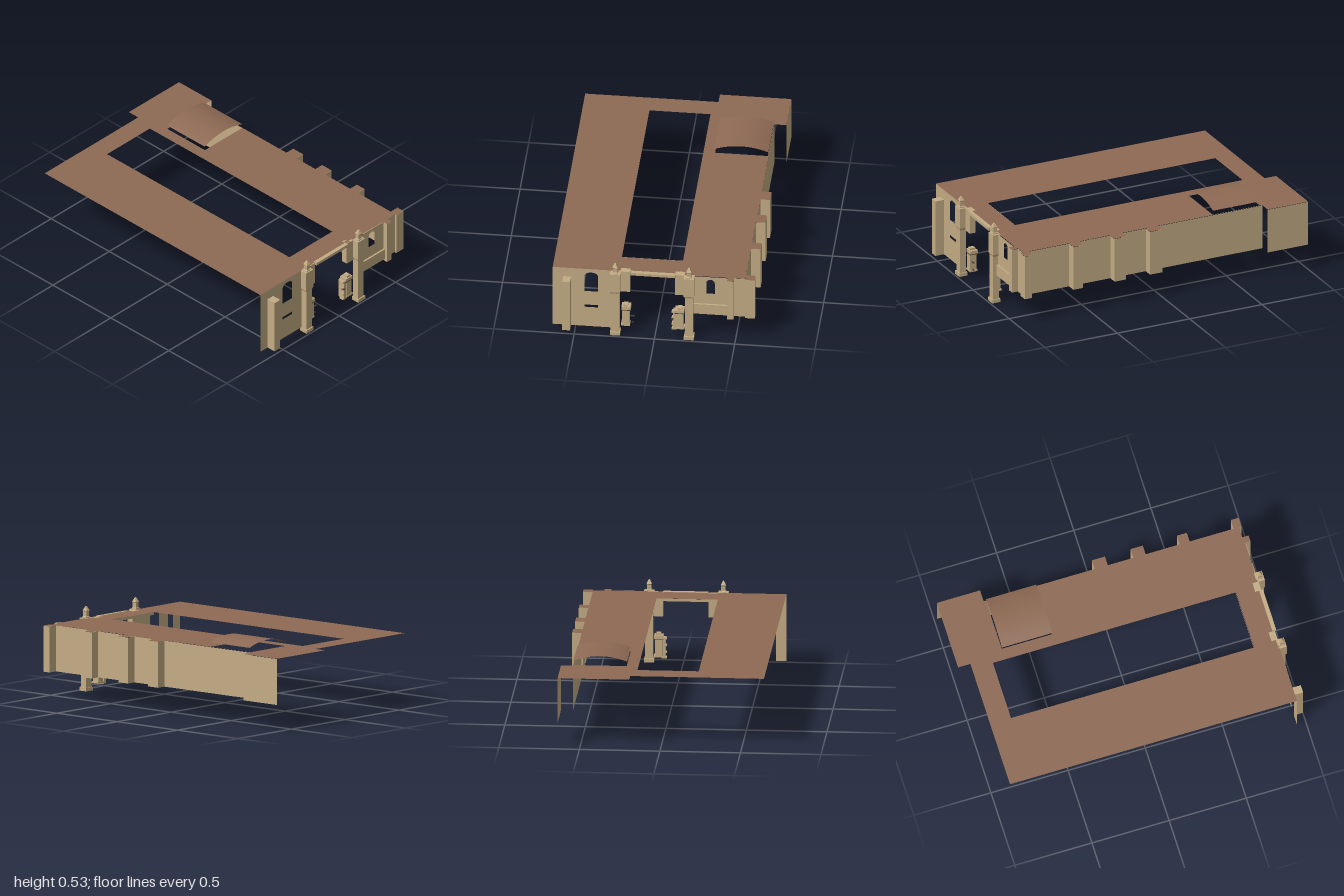
import * as THREE from 'three';

const mat = (name, color, side = THREE.DoubleSide) => {
  const m = new THREE.MeshStandardMaterial({ color, side });
  m.name = name;
  return m;
};

export function createModel() {
  const model = new THREE.Group();
  model.name = 'gatehouse';
  const stone = mat('sandstone', 0xc4ac84);
  const stoneFront = mat('sandstone solid', 0xc4ac84, THREE.FrontSide);
  const roofMat = mat('brown roof', 0x8e6a54);
  const metal = mat('dark iron', 0x4a4034);
  const TOP = 0.457;

  const add = (name, geo, material, parent = model) => {
    const mesh = new THREE.Mesh(geo, material);
    mesh.name = name;
    parent.add(mesh);
    return mesh;
  };
  // Box given by its limits on each axis
  const box = (name, x0, x1, y0, y1, z0, z1, parent = model, material = stoneFront) => {
    const mesh = add(name, new THREE.BoxGeometry(x1 - x0, y1 - y0, z1 - z0), material, parent);
    mesh.position.set((x0 + x1) / 2, (y0 + y1) / 2, (z0 + z1) / 2);
    return mesh;
  };
  const shape = (pts) => new THREE.Shape(pts.map(([x, y]) => new THREE.Vector2(x, y)));
  const rect = (x0, x1, y0, y1) => [[x0, y0], [x1, y0], [x1, y1], [x0, y1]];
  const archWindow = (x0, x1, y0, spring, crown) => {
    const pts = [[x0, y0], [x1, y0]];
    for (let i = 0; i <= 8; i++) {
      const a = (i / 8) * Math.PI;
      pts.push([(x0 + x1) / 2 + Math.cos(a) * (x1 - x0) / 2, spring + Math.sin(a) * (crown - spring)]);
    }
    return pts;
  };
  // Vertical sheet that follows a plan path of [x, z] points
  const foldedWall = (name, path, y0, y1) => {
    const v = [];
    for (let i = 0; i < path.length - 1; i++) {
      const [ax, az] = path[i], [bx, bz] = path[i + 1];
      v.push(ax, y0, az, bx, y0, bz, bx, y1, bz, ax, y0, az, bx, y1, bz, ax, y1, az);
    }
    const geo = new THREE.BufferGeometry();
    geo.setAttribute('position', new THREE.Float32BufferAttribute(v, 3));
    geo.computeVertexNormals();
    add(name, geo, stone);
  };

  // Side wall plan with its row of buttresses, front to back
  const sidePath = [[0.45, 0.94], [0.45, 0.975], [0.49, 0.975], [0.49, 0.935], [0.56, 0.935]];
  for (const [z0, z1] of [[0.95, 0.9], [0.615, 0.55], [0.33, 0.25], [0.085, 0]]) {
    sidePath.push([0.56, z0], [0.62, z0], [0.62, z1], [0.56, z1]);
  }
  sidePath.push([0.56, -0.72]);
  foldedWall('sideWall', sidePath, 0.167, TOP - 0.002);
  foldedWall('rearSideWall', [[0.635, -0.72], [0.635, -1]], 0.167, TOP - 0.002);

  // Flat roof with courtyard and vault openings
  const plan = [[-0.64, 0.94], ...sidePath, [0.635, -0.72], [0.635, -1], [0.19, -1], [0.19, -0.92], [-0.64, -0.92]];
  const roof = shape(plan.map(([x, z]) => [x, -z]));
  roof.holes.push(shape(rect(-0.225, 0.155, -0.79, 0.785)), shape(rect(0.228, 0.556, 0.38, 0.705)));
  add('roof', new THREE.ShapeGeometry(roof).rotateX(-Math.PI / 2), roofMat).position.y = TOP;

  // Raised shallow vault: circular arc in x, running along z
  const half = 0.167, rise = 0.032;
  const radius = (half * half + rise * rise) / (2 * rise);
  const angle = Math.asin(half / radius);
  const vault = new THREE.CylinderGeometry(radius, radius, 0.325, 20, 1, true, -angle, 2 * angle);
  vault.rotateX(Math.PI / 2).rotateZ(Math.PI);
  add('vaultRoof', vault, roofMat).position.set(0.392, 0.517 - radius, -0.5425);

  // Front left wall with window, slit and buttress recess
  const leftWall = shape([[-0.64, 0.025], [-0.575, 0.025], [-0.575, 0.392], [-0.525, 0.392],
    [-0.525, 0.025], [-0.22, 0.025], [-0.22, TOP], [-0.64, TOP]]);
  leftWall.holes.push(shape(archWindow(-0.442, -0.357, 0.29, 0.405, 0.432)),
    shape(rect(-0.442, -0.357, 0.17, 0.187)));
  add('frontLeftWall', new THREE.ShapeGeometry(leftWall), stone).position.z = 0.94;
  const buttress = box('frontButtress', -0.575, -0.525, 0.025, 0.392, 0.94, 1);
  buttress.geometry.setIndex([...buttress.geometry.index.array].slice(0, 30)); // open at the back

  // Front right wall with window and lower ledge
  const rightWall = shape(rect(0.235, 0.455, 0.185, TOP));
  rightWall.holes.push(shape(archWindow(0.318, 0.37, 0.333, 0.412, 0.437)));
  add('frontRightWall', new THREE.ShapeGeometry(rightWall), stone).position.z = 0.945;
  box('wallLedge', 0.235, 0.452, 0.183, 0.255, 0.935, 0.957);

  // Lintel over the gateway and trim at the courtyard edge
  box('lintel', -0.155, 0.125, 0.44, TOP + 0.002, 0.93, 0.955);
  foldedWall('courtyardTrim', [[-0.225, 0.788], [0.155, 0.788]], 0.44, TOP);

  // Gate piers; dir points from the pier into the gateway
  for (const [cx, dir, label] of [[-0.2475, 1, 'left'], [0.2125, -1, 'right']]) {
    const pier = new THREE.Group();
    pier.name = label + 'GatePier';
    model.add(pier);
    const part = (name, a, b, y0, y1, z0, z1, material) =>
      box(name, cx + Math.min(a * dir, b * dir), cx + Math.max(a * dir, b * dir), y0, y1, z0, z1, pier, material);
    part('base', -0.031, 0.031, 0, 0.023, 0.932, 0.988);
    part('shaft', -0.025, 0.025, 0.023, 0.315, 0.938, 0.98);
    part('upperPier', -0.032, 0.032, 0.325, TOP, 0.933, 0.985);
    // Tapered corbel joining shaft and upper pier
    const corbel = new THREE.CylinderGeometry(0.032 * Math.SQRT2, 0.025 * Math.SQRT2, 0.015, 4)
      .rotateY(Math.PI / 4).toNonIndexed();
    corbel.computeVertexNormals();
    const corbelMesh = add('corbel', corbel, stoneFront, pier);
    corbelMesh.position.set(cx, 0.3175, 0.959);
    corbelMesh.scale.z = 0.82;
    part('bracket', 0.03, 0.09, 0.307, TOP, 0.905, 0.945);
    // Pinnacle
    const profile = [[0.017, 0], [0.017, 0.006], [0.013, 0.01], [0.013, 0.04], [0.016, 0.045], [0.005, 0.068], [0, 0.074]];
    const pin = new THREE.LatheGeometry(profile.map(([r, y]) => new THREE.Vector2(r * Math.SQRT2, y)), 4)
      .rotateY(Math.PI / 4).toNonIndexed();
    pin.computeVertexNormals();
    add('pinnacle', pin, stone, pier).position.set(cx, TOP, 0.96);
    // Gate post beside the pier
    part('gatePost', 0.04, 0.085, 0.052, 0.16, 0.895, 0.94);
    part('postFoot', 0.032, 0.088, 0.045, 0.055, 0.89, 0.942);
    part('postCollar', 0.035, 0.092, 0.16, 0.187, 0.89, 0.942);
    part('postCap', 0.047, 0.076, 0.187, 0.2, 0.9, 0.935);
    part('postBand', 0.033, 0.094, 0.162, 0.166, 0.888, 0.944, metal);
  }

  // Small gate leaf and fittings
  box('gateLeaf', 0.108, 0.126, 0.04, 0.172, 0.89, 0.935);
  for (const y of [0.04, 0.075, 0.12, 0.165]) box('leafHinge', 0.1, 0.132, y - 0.005, y + 0.005, 0.905, 0.935);
  box('leafLatch', 0.097, 0.112, 0.114, 0.121, 0.925, 0.94, model, metal);
  box('latchBar', -0.155, -0.132, 0.113, 0.119, 0.925, 0.935, model, metal);
  const ring = add('latchRing', new THREE.TorusGeometry(0.006, 0.002, 6, 10), metal);
  ring.position.set(-0.142, 0.068, 0.93);
  return model;
}
